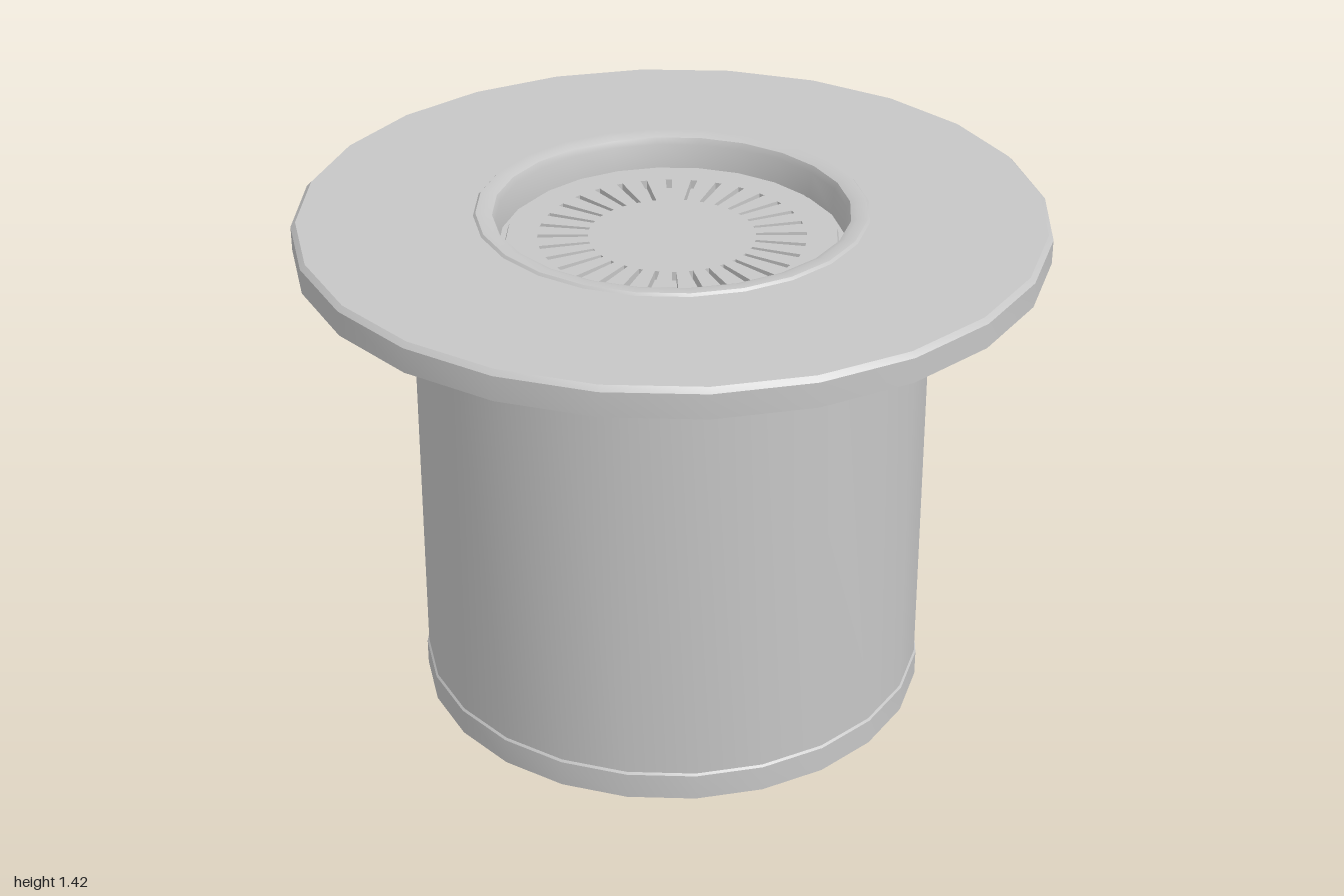
import * as THREE from 'three';
import { toCreasedNormals } from 'three/addons/utils/BufferGeometryUtils.js';

const SIDES = 24;
const SLOTS = 32;

// Turned part from [radius, height] pairs, ordered so faces point outwards
function turned(name, profile, material) {
  const points = profile.map(([r, y]) => new THREE.Vector2(r, y));
  const lathe = new THREE.LatheGeometry(points, SIDES, Math.PI / SIDES);
  const mesh = new THREE.Mesh(toCreasedNormals(lathe, 0.6), material);
  mesh.name = name;
  return mesh;
}

export function createModel() {
  const model = new THREE.Group();
  const grey = new THREE.MeshStandardMaterial({ color: 0xc6c6c6 });
  grey.name = 'light grey';

  // Cylindrical body with a foot band and a shallow recess underneath
  model.add(turned('body', [
    [0, 0.035], [0.69, 0.035], [0.69, 0], [0.711, 0], [0.711, 0.074],
    [0.706, 0.08], [0.698, 1.34],
  ], grey));

  // Wide flange with softened edges
  model.add(turned('flange', [
    [0.68, 1.33], [0.99, 1.33], [1.008, 1.338], [1.008, 1.405],
    [0.995, 1.418], [0.52, 1.418],
  ], grey));

  // Raised lip, sunken well wall and the groove around the grille
  model.add(turned('wellRim', [
    [0.53, 1.416], [0.522, 1.425], [0.495, 1.425], [0.478, 1.418], [0.47, 1.4],
    [0.465, 1.325], [0.45, 1.325], [0.445, 1.34], [0.43, 1.34],
  ], grey));

  // Grille plate pierced by tapered radial slots
  const plate = new THREE.Shape();
  plate.absarc(0, 0, 0.435, 0, Math.PI * 2, false);
  for (let i = 0; i < SLOTS; i++) {
    const a = (i / SLOTS) * Math.PI * 2;
    const corner = (r, s) => new THREE.Vector2(
      r * Math.cos(a) - s * Math.sin(a), r * Math.sin(a) + s * Math.cos(a));
    plate.holes.push(new THREE.Path([
      corner(0.225, -0.006), corner(0.225, 0.006),
      corner(0.36, 0.009), corner(0.36, -0.009),
    ]));
  }
  const grille = new THREE.Mesh(
    new THREE.ExtrudeGeometry(plate, { depth: 0.025, bevelEnabled: false, curveSegments: SIDES }), grey);
  grille.name = 'grille';
  grille.rotation.x = -Math.PI / 2;
  grille.position.y = 1.315;
  model.add(grille);

  // Closed floor below the slots
  const floor = new THREE.Mesh(new THREE.CircleGeometry(0.44, SIDES), grey);
  floor.name = 'slotFloor';
  floor.rotation.x = -Math.PI / 2;
  floor.position.y = 1.314;
  model.add(floor);

  return model;
}
